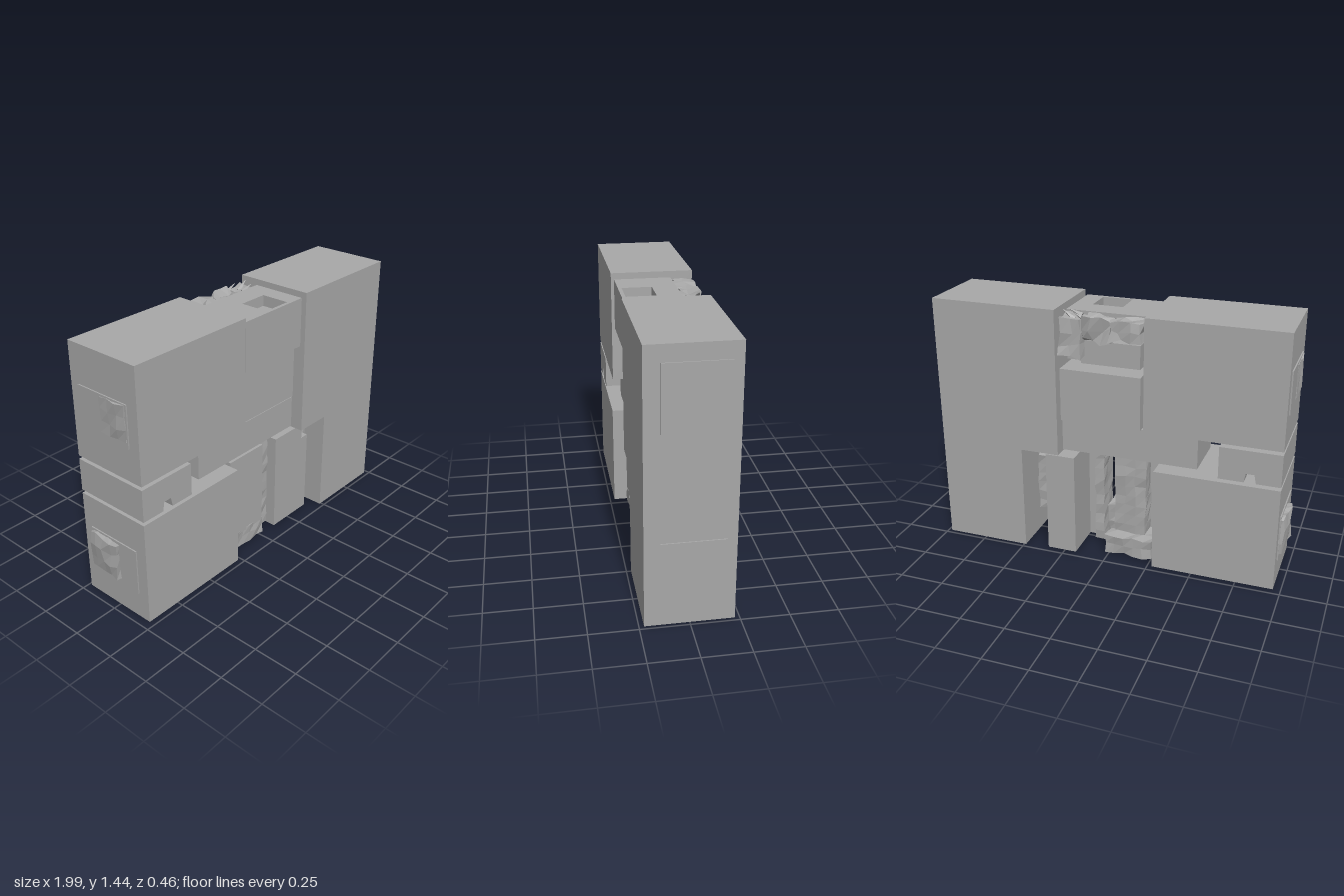
import * as THREE from 'three';

export function createModel() {
  const model = new THREE.Group();
  const stone = new THREE.MeshStandardMaterial({ color: 0xa8a8a8 });
  stone.name = 'grey stone';
  stone.flatShading = true;

  const add = (name, geometry) => {
    const mesh = new THREE.Mesh(geometry, stone);
    mesh.name = name;
    model.add(mesh);
    return mesh;
  };

  // Repeatable wobble that depends only on position, so shared corners stay joined
  const wobble = (x, y, z, k) => {
    const s = Math.sin(x * 127.1 + y * 311.7 + z * 74.7 + k * 53.3) * 43758.5453;
    return s - Math.floor(s) - 0.5;
  };

  // Box given by its limits; rough > 0 chips the faces
  const block = (name, [x0, x1], [y0, y1], [z0, z1], rough = 0) => {
    const size = [x1 - x0, y1 - y0, z1 - z0];
    const seg = size.map(s => (rough ? Math.max(1, Math.round(s / 0.06)) : 1));
    const g = new THREE.BoxGeometry(...size, ...seg);
    g.translate((x0 + x1) / 2, (y0 + y1) / 2, (z0 + z1) / 2);
    if (rough) {
      const p = g.attributes.position;
      for (let i = 0; i < p.count; i++) {
        const v = [p.getX(i), p.getY(i), p.getZ(i)].map(a => Math.round(a * 1000) / 1000);
        p.setXYZ(i, ...v.map((a, k) => a + rough * wobble(...v, k)));
      }
      g.computeVertexNormals();
    }
    return add(name, g);
  };

  // Front outline pushed through from z0 to z1
  const slab = (name, points, z0, z1) => {
    const shape = new THREE.Shape(points.map(p => new THREE.Vector2(...p)));
    const g = new THREE.ExtrudeGeometry(shape, { depth: z1 - z0, bevelEnabled: false });
    g.translate(0, 0, z0);
    return add(name, g);
  };

  const deep = [-0.225, 0.225];

  // Large masses
  block('upperRightBlock', [-0.96, -0.22], [0.82, 1.44], deep);
  block('lowerRightBlock', [-0.96, -0.28], [0.01, 0.6], deep);
  slab('leftColumn', [[0.49, 0], [0.98, 0], [0.98, 1.435], [0.27, 1.435], [0.27, 0.61], [0.49, 0.61]], ...deep);
  slab('smallNotchedBlock', [[-0.96, 0.62], [-0.83, 0.62], [-0.82, 0.67], [-0.775, 0.67],
    [-0.765, 0.62], [-0.63, 0.62], [-0.63, 0.8], [-0.96, 0.8]], ...deep);
  block('crossBar', [-0.5, 0.28], [0.615, 0.8], [-0.15, 0.15]);

  // Stacked blocks between the two masses
  block('middleLowerBlock', [-0.2, 0.25], [0.82, 1.115], [-0.215, 0.17]);
  block('middleUpperBlock', [-0.2, 0.25], [1.135, 1.35], [-0.1, 0.21]);

  // Cap with a square pocket in its top
  const cap = new THREE.Shape([[-0.2, -0.21], [0.25, -0.21], [0.25, 0.1], [-0.2, 0.1]]
    .map(p => new THREE.Vector2(...p)));
  cap.holes.push(new THREE.Path([[-0.02, -0.19], [-0.02, -0.03], [0.15, -0.03], [0.15, -0.19]]
    .map(p => new THREE.Vector2(...p))));
  const capGeometry = new THREE.ExtrudeGeometry(cap, { depth: 0.06, bevelEnabled: false });
  capGeometry.rotateX(-Math.PI / 2);
  capGeometry.translate(0, 1.35, 0);
  add('pocketedCap', capGeometry);

  // Broken rear of the upper block
  block('rearLedge', [-0.18, 0.15], [1.14, 1.27], [-0.16, -0.1]);
  block('rearRubbleLeft', [0.13, 0.25], [1.18, 1.39], [-0.215, -0.1], 0.03);
  block('rearRubbleMiddle', [-0.03, 0.13], [1.28, 1.4], [-0.2, -0.1], 0.035);
  block('rearRubbleRight', [-0.2, -0.03], [1.3, 1.4], [-0.22, -0.1], 0.025);
  for (const [x, z, tilt] of [[0.21, -0.17, -0.9], [0.14, -0.19, -1.1], [0.19, -0.12, -1.2]]) {
    const shard = add('shard', new THREE.ConeGeometry(0.015, 0.08, 4));
    shard.position.set(x, 1.405, z);
    shard.rotation.z = tilt;
  }

  // Right leg with a deeper foot
  block('rightLeg', [-0.255, 0.015], [0.1, 0.6], [0, 0.15]);
  block('rightLegBack', [-0.2, -0.02], [0.12, 0.6], [-0.1, 0], 0.012);
  block('rightFoot', [-0.255, 0.02], [0.01, 0.12], [-0.16, 0.15], 0.015);
  block('rightFootChip', [-0.03, 0.025], [0.12, 0.28], [-0.08, 0.12], 0.015);

  // Left leg, notched at its upper outer corner
  slab('leftLeg', [[0.12, 0.005], [0.415, 0.005], [0.415, 0.5], [0.36, 0.5], [0.36, 0.59], [0.12, 0.59]], 0.02, 0.16);
  block('leftLegBack', [0.18, 0.35], [0.005, 0.6], [-0.215, 0.02]);
  block('leftLegInnerStrip', [0.065, 0.12], [0.01, 0.59], [-0.04, 0.1], 0.012);
  block('leftLegOuterStrip', [0.415, 0.47], [0.16, 0.51], [-0.05, 0.1], 0.015);

  // Shallow panels on the outer sides
  for (const [y0, y1] of [[1.015, 1.35], [0.13, 0.455]]) {
    block('leftSidePanel', [0.975, 0.986], [y0, y1], [-0.175, 0.145]);
  }
  for (const [y0, y1] of [[1.0, 1.23], [0.16, 0.42]]) {
    block('rightSidePanel', [-0.967, -0.955], [y0, y1], [-0.17, 0.16]);
  }
  block('upperRoughPatch', [-0.974, -0.95], [1.03, 1.22], [-0.02, 0.15], 0.012);
  block('lowerRoughPatch', [-0.99, -0.95], [0.2, 0.41], [-0.17, 0.04], 0.025);

  return model;
}
